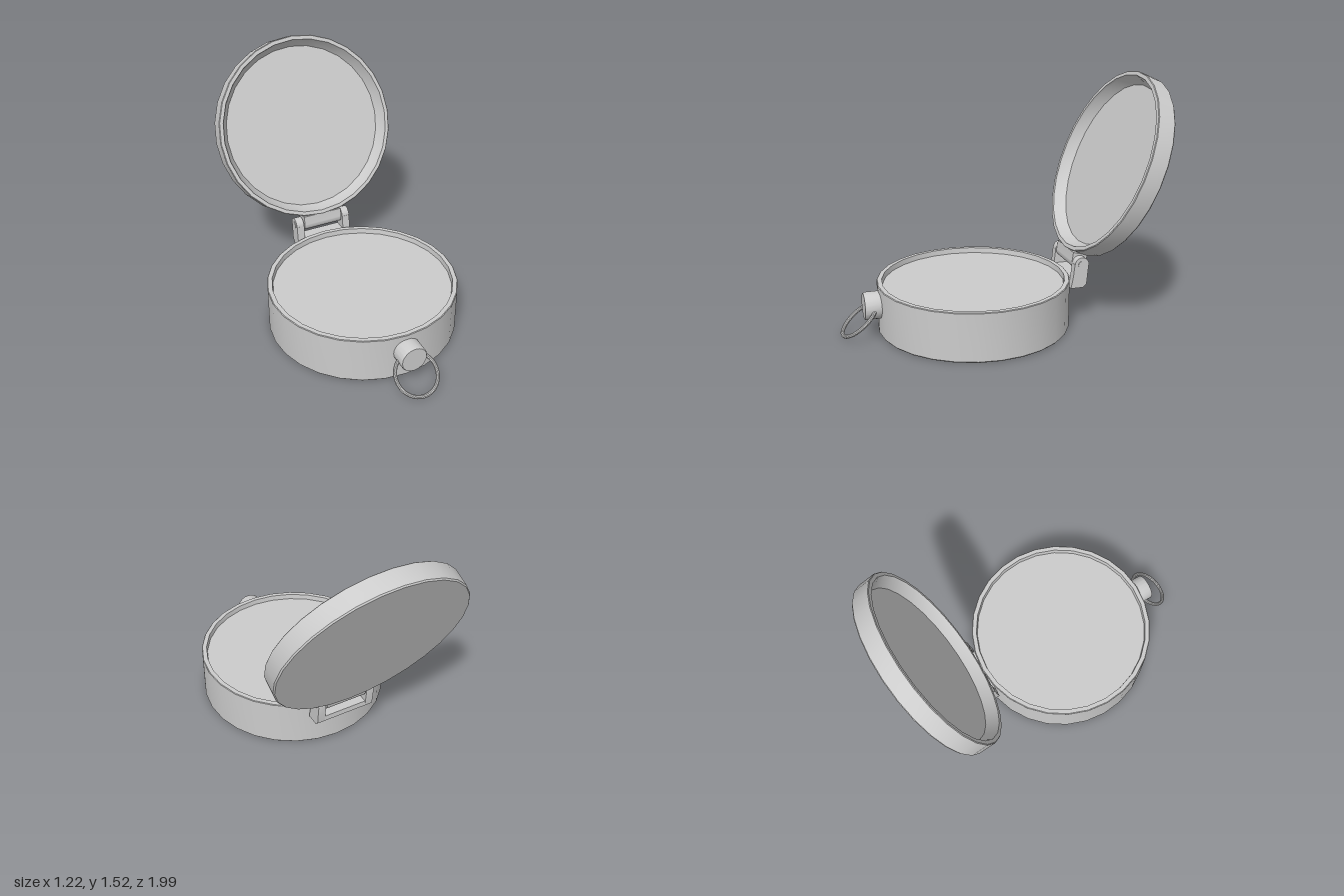
import * as THREE from 'three';
import { toCreasedNormals } from 'three/addons/utils/BufferGeometryUtils.js';

const SIDES = 28;
const material = new THREE.MeshStandardMaterial({ color: 0xcccccc });

function part(name, geometry, parent, position = [0, 0, 0]) {
  const mesh = new THREE.Mesh(toCreasedNormals(geometry, 0.6), material);
  mesh.name = name;
  mesh.position.set(...position);
  parent.add(mesh);
  return mesh;
}

// Round part from a profile of [radius, height] pairs
function turned(profile, sides = SIDES) {
  return new THREE.LatheGeometry(profile.map(([r, y]) => new THREE.Vector2(r, y)), sides);
}

// Side outline drawn in (z, y), extruded along x and centred on x = 0
function sideExtrude(shape, width) {
  return new THREE.ExtrudeGeometry(shape, { depth: width, bevelEnabled: false, curveSegments: 10 })
    .translate(0, 0, -width / 2)
    .rotateY(-Math.PI / 2);
}

export function createModel() {
  const root = new THREE.Group();
  root.name = 'hingedRoundCase';
  root.rotation.y = 0.039;
  const body = new THREE.Group();
  body.name = 'body';
  body.position.x = 0.01;
  root.add(body);

  // Base dish with a shallow recessed top
  part('base', turned([
    [0, 0], [0.587, 0], [0.593, 0.007], [0.593, 0.296], [0.589, 0.3],
    [0.562, 0.3], [0.558, 0.266], [0, 0.266],
  ]), body, [0, 0, 0.178]);

  // Open lid, hollow side facing forward and slightly up
  const lid = part('lid', turned([
    [0, -0.06], [0.586, -0.06], [0.593, -0.052], [0.593, 0.056], [0.589, 0.06],
    [0.566, 0.06], [0.562, 0.045], [0.527, -0.012], [0, -0.012],
  ]), body, [0, 0.955, -0.709]);
  lid.rotation.x = 1.17;

  // Hinge: two arms joined by a lower crossbar
  const pinY = 0.37, pinZ = -0.465;
  const arm = new THREE.Shape();
  arm.moveTo(-0.395, 0.222);
  arm.lineTo(-0.41, 0.3);
  arm.lineTo(-0.418, 0.375);
  arm.absarc(pinZ, pinY, 0.046, 0.1, Math.PI * 0.95, false);
  arm.lineTo(-0.498, 0.245);
  arm.lineTo(-0.475, 0.222);
  arm.closePath();
  for (const side of [-1, 1]) {
    part(side < 0 ? 'rightHingeArm' : 'leftHingeArm', sideExtrude(arm, 0.05), body, [side * 0.165, 0, 0]);
  }
  const bar = new THREE.Shape([
    [-0.395, 0.222], [-0.4, 0.28], [-0.497, 0.28], [-0.498, 0.245], [-0.475, 0.222],
  ].map(([z, y]) => new THREE.Vector2(z, y)));
  part('hingeCrossbar', sideExtrude(bar, 0.29), body);

  // Pin through both arms
  part('hingePin', new THREE.CylinderGeometry(0.024, 0.024, 0.386, 16).rotateZ(Math.PI / 2),
    body, [0, pinY, pinZ]);

  // Lid knuckle wrapped round the pin and running up into the lid rim
  const knuckle = new THREE.Shape();
  knuckle.absarc(pinZ, pinY, 0.045, Math.PI, Math.PI * 2.1, false);
  knuckle.lineTo(-0.43, 0.435);
  knuckle.lineTo(-0.525, 0.41);
  knuckle.closePath();
  part('lidKnuckle', sideExtrude(knuckle, 0.264), body);

  // Knob on the front
  part('knob', turned([
    [0, 0], [0.084, 0], [0.084, 0.105], [0.079, 0.113], [0, 0.113],
  ], 20).rotateX(Math.PI / 2), body, [0, 0.185, 0.747]);

  // Carrying ring hanging forward from the knob
  const ring = part('ring', new THREE.TorusGeometry(0.13, 0.012, 10, 36), body, [0, 0.101, 0.889]);
  ring.rotation.x = -0.9;

  return root;
}
